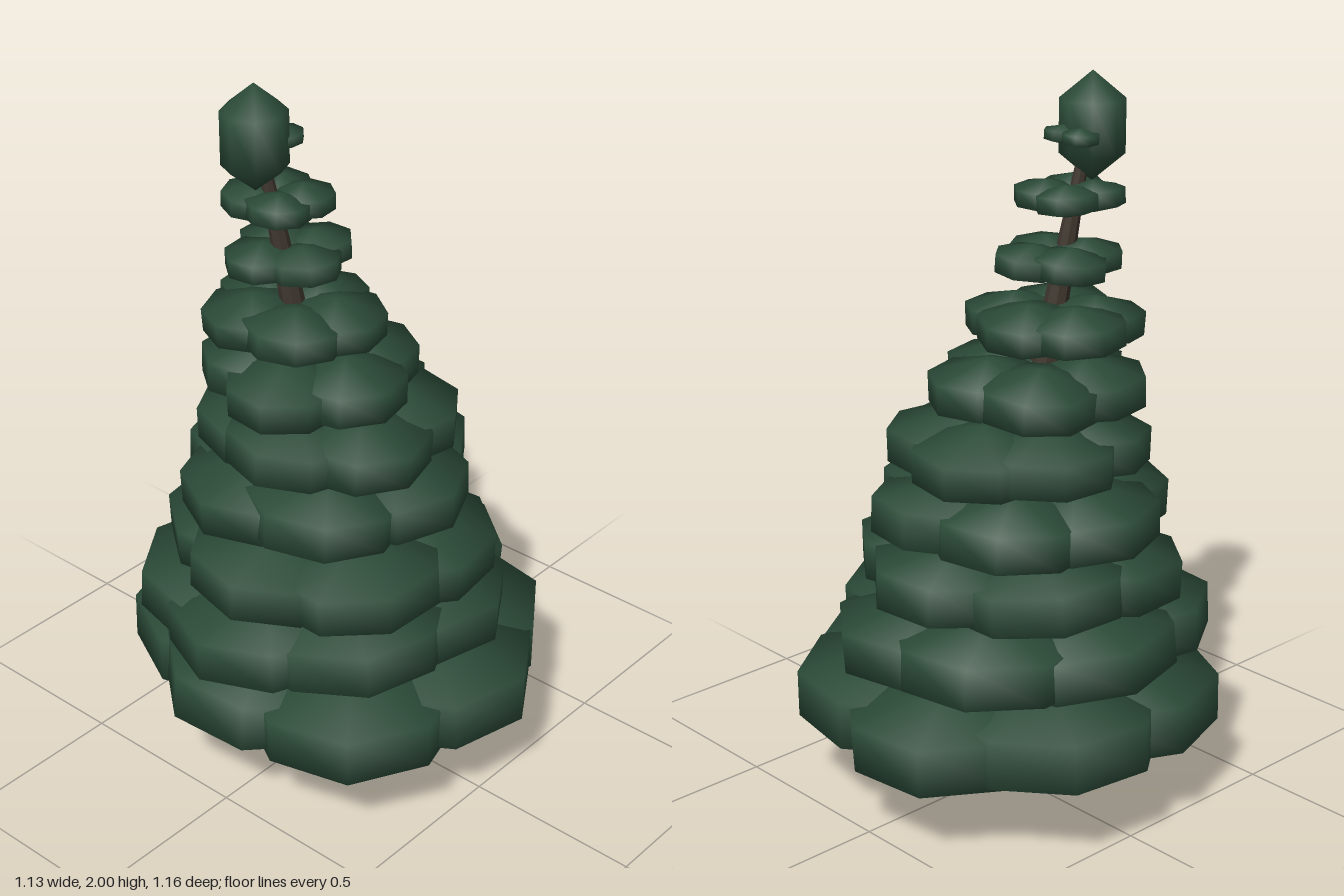
import * as THREE from 'three';

// Each whorl of foliage: lobe count, height, half thickness, x and z extents, start angle
const TIERS = [
  [7, 0.298, 0.135, -0.555, 0.565, -0.61, 0.60, 85],
  [7, 0.50, 0.115, -0.575, 0.51, -0.54, 0.46, 20],
  [6, 0.66, 0.105, -0.48, 0.40, -0.49, 0.45, 62],
  [6, 0.84, 0.10, -0.42, 0.40, -0.46, 0.35, 20],
  [6, 1.01, 0.092, -0.375, 0.335, -0.39, 0.305, 48],
  [5, 1.17, 0.083, -0.36, 0.23, -0.35, 0.23, 24],
  [5, 1.34, 0.065, -0.325, 0.125, -0.34, 0.17, 70],
  [4, 1.51, 0.048, -0.28, 0.075, -0.268, 0.073, 20],
  [4, 1.675, 0.043, -0.285, 0.006, -0.245, 0.047, 50],
  [3, 1.84, 0.025, -0.22, -0.05, -0.215, -0.045, 60],
];
// The widest rings of a lobe sit at sin(60 degrees) of its radius
const WIDEST = Math.sin(Math.PI / 3);

// Small seeded generator, returns -1..1
function makeRandom(seed) {
  return () => {
    seed = (seed * 16807) % 2147483647;
    return (seed / 2147483647) * 2 - 1;
  };
}

// Centre line of the leaning trunk
function trunkCentre(y) {
  return [0.055 - 0.105 * y - 0.014 * y * y, 0.04 - 0.078 * y - 0.005 * y * y];
}

// Coarse lobe, squashed or stretched but keeping the soft shading of a round ball
function makeLobe(name, radius, halfHeight, material) {
  const geo = new THREE.SphereGeometry(1, 8, 3);
  const pos = geo.attributes.position;
  const r = radius / WIDEST;
  for (let i = 0; i < pos.count; i++) {
    pos.setXYZ(i, pos.getX(i) * r, pos.getY(i) * halfHeight, pos.getZ(i) * r);
  }
  const lobe = new THREE.Mesh(geo, material);
  lobe.name = name;
  return lobe;
}

export function createModel() {
  const tree = new THREE.Group();
  tree.name = 'tree';
  const needles = new THREE.MeshStandardMaterial({ color: 0x2d4d3a });
  needles.name = 'dark green needles';
  const bark = new THREE.MeshStandardMaterial({ color: 0x40372f, flatShading: true });
  bark.name = 'brown bark';

  // Tapered trunk, each ring moved onto the centre line
  const height = 1.8;
  const trunkGeo = new THREE.CylinderGeometry(0.015, 0.096, height, 8, 8);
  trunkGeo.translate(0, height / 2, 0);
  const pos = trunkGeo.attributes.position;
  for (let i = 0; i < pos.count; i++) {
    const [cx, cz] = trunkCentre(pos.getY(i));
    pos.setX(i, pos.getX(i) + cx);
    pos.setZ(i, pos.getZ(i) + cz);
  }
  trunkGeo.computeVertexNormals();
  const trunk = new THREE.Mesh(trunkGeo, bark);
  trunk.name = 'trunk';
  tree.add(trunk);

  // Whorls of overlapping lobes, rounder and fewer towards the top
  const random = makeRandom(71);
  TIERS.forEach(([count, y, ry, x0, x1, z0, z1, start], t) => {
    const whorl = new THREE.Group();
    whorl.name = 'whorl' + (t + 1);
    whorl.position.set((x0 + x1) / 2, y, (z0 + z1) / 2);
    const rx = (x1 - x0) / 2;
    const rz = (z1 - z0) / 2;
    const share = 0.52 + 0.008 * t;
    const radius = (share * (rx + rz)) / 2;
    for (let i = 0; i < count; i++) {
      const a = THREE.MathUtils.degToRad(start + (i * 360) / count);
      const lobe = makeLobe('lobe', radius, ry, needles);
      const reach = 1.01 - share + 0.02 * random();
      lobe.position.set(Math.cos(a) * rx * reach, 0, Math.sin(a) * rz * reach);
      lobe.rotation.set(0.07 * random(), -a + 0.3 * random(), 0.07 * random(), 'YXZ');
      whorl.add(lobe);
    }
    tree.add(whorl);
  });

  // Pointed crown tip
  const tip = makeLobe('crownTip', 0.087, 0.145, needles);
  tip.position.set(-0.197, 1.855, -0.125);
  tree.add(tip);

  return tree;
}
